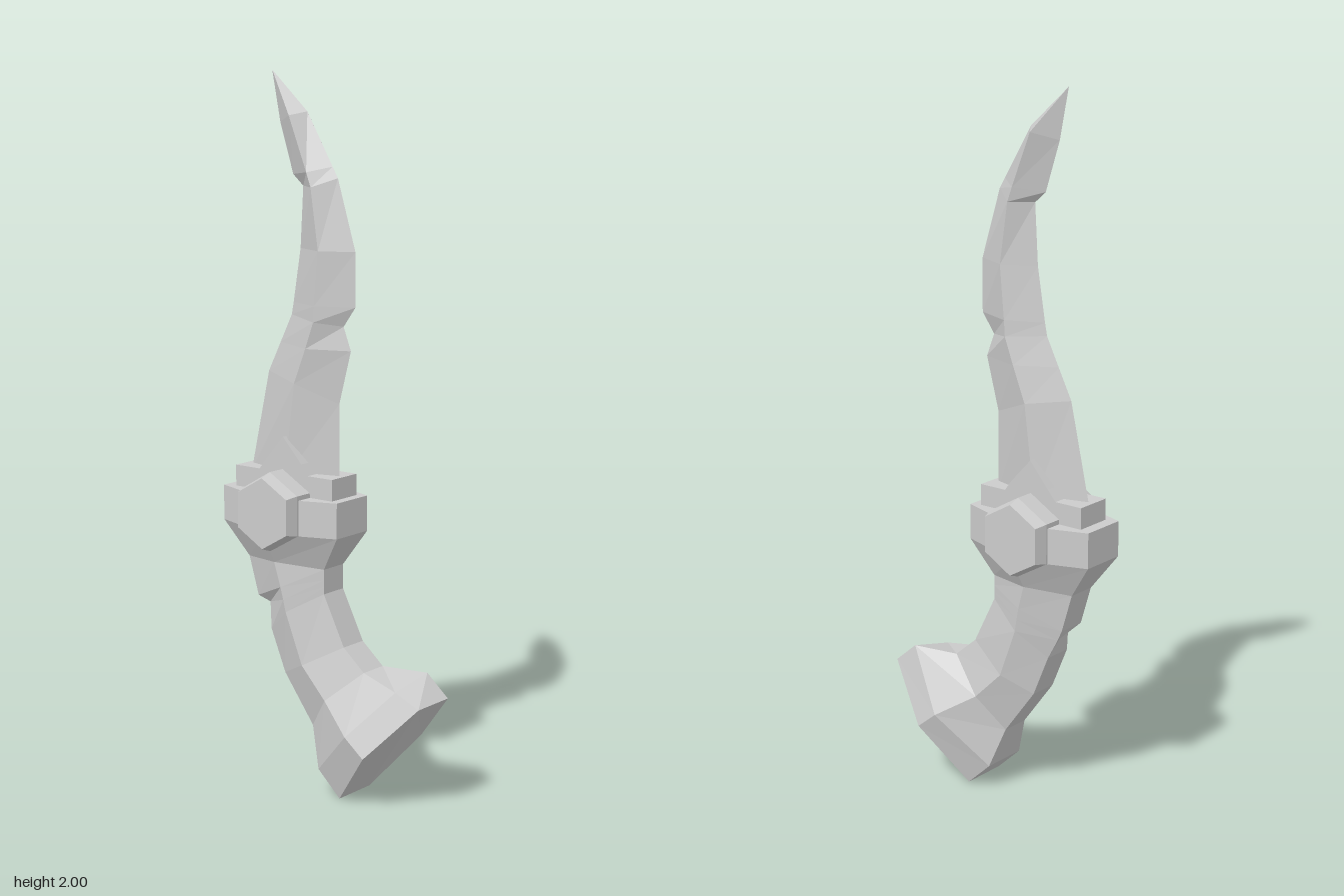
import * as THREE from 'three';

const material = new THREE.MeshStandardMaterial({ color: 0xcccccc, flatShading: true });

function part(name, geometry) {
  const mesh = new THREE.Mesh(geometry, material);
  mesh.name = name;
  return mesh;
}

// Skin a stack of equal-length rings, closing both ends
function loft(rings) {
  const pos = [];
  const tri = (a, b, c) => pos.push(...a, ...b, ...c);
  const n = rings[0].length;
  for (let r = 0; r < rings.length - 1; r++) {
    const a = rings[r], b = rings[r + 1];
    for (let i = 0; i < n; i++) {
      const j = (i + 1) % n;
      tri(a[i], a[j], b[j]);
      tri(a[i], b[j], b[i]);
    }
  }
  const first = rings[0], last = rings[rings.length - 1];
  for (let i = 1; i < n - 1; i++) {
    tri(first[0], first[i + 1], first[i]);
    tri(last[0], last[i], last[i + 1]);
  }
  const g = new THREE.BufferGeometry();
  g.setAttribute('position', new THREE.Float32BufferAttribute(pos, 3));
  g.computeVertexNormals();
  return g;
}

// Diamond section: front edge, side ridges, back edge
function bladeRing([fz, fy, mz, my, bz, by, w = 0.043]) {
  return [[0, fy, fz], [w, my, mz], [0, by, bz], [-w, my, mz]];
}

// Six-sided section: front pair, side ridges, back pair
function gripRing([fz, fy, fw, mz, my, mw, bz, by, bw]) {
  return [[-fw, fy, fz], [fw, fy, fz], [mw, my, mz], [bw, by, bz], [-bw, by, bz], [-mw, my, mz]];
}

export function createModel() {
  const group = new THREE.Group();

  // Curved blade with a nick in each edge
  group.add(part('blade', loft([
    [0.02, 0.88, -0.14, 0.88, -0.295, 0.88],
    [0.02, 1.10, -0.105, 1.15, -0.23, 1.17],
    [0.06, 1.25, -0.065, 1.25, -0.187, 1.255],
    [0.035, 1.315, -0.037, 1.325, -0.147, 1.335],
    [0.075, 1.37, -0.034, 1.37, -0.14, 1.37],
    [0.075, 1.52, -0.02, 1.52, -0.115, 1.52],
    [0.015, 1.715, -0.045, 1.69, -0.105, 1.69],
    [-0.003, 1.745, -0.06, 1.73, -0.14, 1.72],
    [-0.09, 1.89, -0.12, 1.88, -0.185, 1.86],
    [-0.213, 2, -0.213, 2, -0.213, 2, 0],
  ].map(bladeRing))));

  // Pommel, curved grip, collar and guard in one faceted skin
  const rings = [
    [0.345, 0.31, 0.068, 0.207, 0.16, 0.135, 0.075, 0, 0.068],
    [0.275, 0.37, 0.068, 0.145, 0.21, 0.135, 0, 0.07, 0.068],
    [0.14, 0.37, 0.043, 0.035, 0.28, 0.085, -0.04, 0.185, 0.043],
    [0.07, 0.43, 0.043, -0.05, 0.365, 0.08, -0.14, 0.32, 0.043],
    [0, 0.57, 0.043, -0.105, 0.51, 0.083, -0.19, 0.44, 0.043],
    [0, 0.59, 0.043, -0.112, 0.545, 0.085, -0.223, 0.50, 0.043],
    [0, 0.61, 0.043, -0.12, 0.58, 0.087, -0.237, 0.53, 0.043],
    [0, 0.64, 0.043, -0.14, 0.65, 0.09, -0.27, 0.64, 0.043],
    [0.065, 0.74, 0.068, -0.137, 0.74, 0.138, -0.342, 0.74, 0.068],
    [0.065, 0.84, 0.068, -0.137, 0.84, 0.138, -0.342, 0.84, 0.068],
  ].map(gripRing);
  rings[1][0] = [-0.062, 0.342, 0.262]; // chipped pommel corner
  rings[5][4] = [-0.035, 0.515, -0.2]; // notch in the back of the grip
  group.add(part('handleAndGuard', loft(rings)));

  // Raised plate the blade sits in
  const plate = new THREE.BoxGeometry(0.11, 0.08, 0.345);
  plate.translate(0, 0.86, -0.135);
  group.add(part('guardPlate', plate));

  // Peaked block gripping the blade root
  const peak = new THREE.Shape([
    [-0.23, 0.89], [-0.195, 0.93], [-0.135, 1], [-0.07, 0.93], [-0.04, 0.89],
  ].map(([z, y]) => new THREE.Vector2(-z, y)));
  const peakGeometry = new THREE.ExtrudeGeometry(peak, { depth: 0.11, bevelEnabled: false });
  peakGeometry.rotateY(Math.PI / 2).translate(-0.055, 0, 0);
  group.add(part('bladeCollar', peakGeometry));

  // Hexagonal bosses on both sides of the guard
  for (const side of [1, -1]) {
    const boss = new THREE.Group();
    boss.name = side > 0 ? 'leftBoss' : 'rightBoss';
    const base = new THREE.CylinderGeometry(0.112, 0.112, 0.11, 6, 1, false, Math.PI / 6);
    base.translate(0, 0.055, 0);
    const cap = new THREE.CylinderGeometry(0.1, 0.112, 0.035, 6, 1, false, Math.PI / 6);
    cap.translate(0, 0.1275, 0);
    boss.add(part('bossBase', base), part('bossCap', cap));
    boss.rotation.z = -side * Math.PI / 2;
    boss.position.set(0, 0.797, -0.137);
    group.add(boss);
  }
  return group;
}
